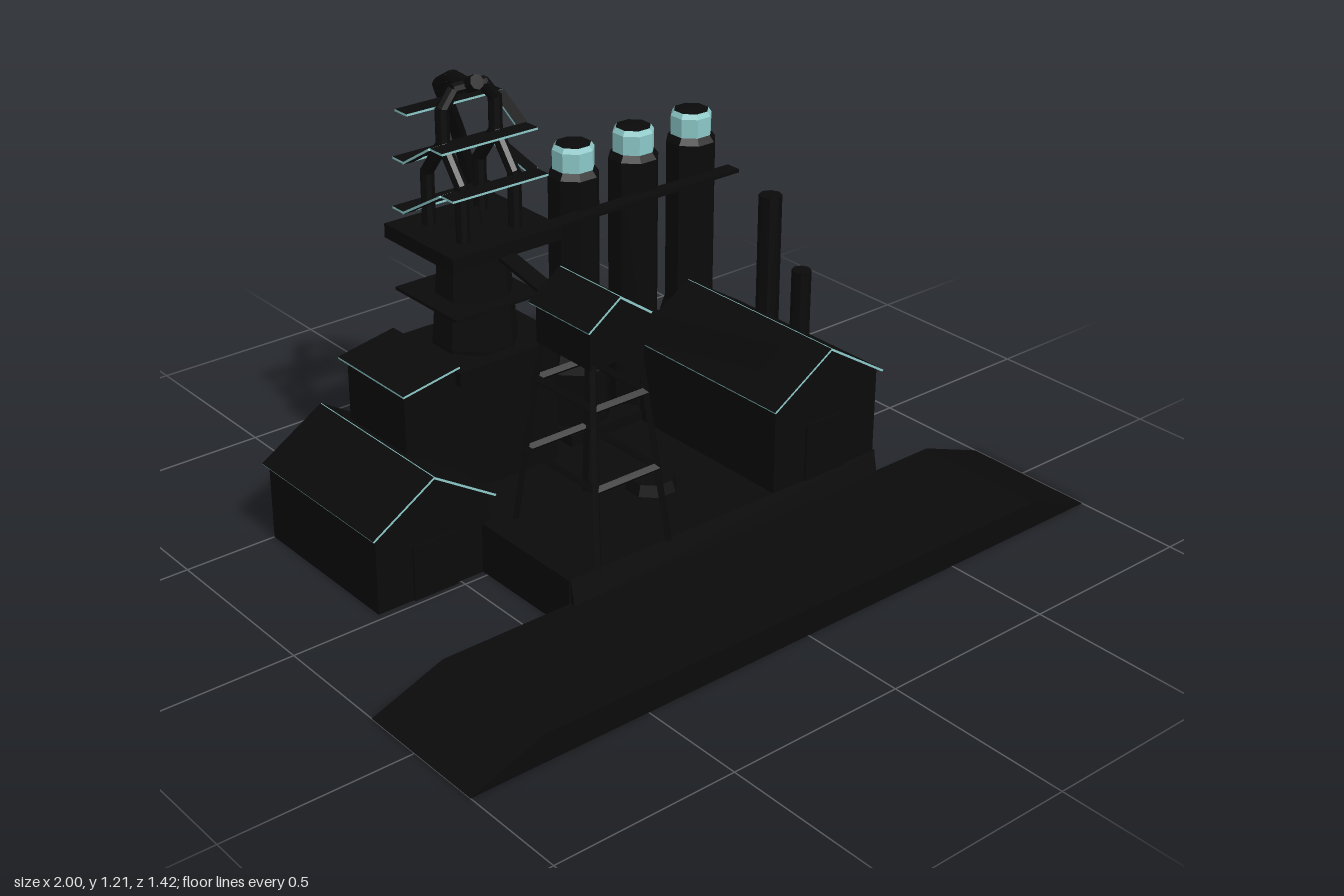
import * as THREE from 'three';

const black = new THREE.MeshStandardMaterial({ name: 'sootBlack', color: 0x0a0a0a, flatShading: true });
const teal = new THREE.MeshStandardMaterial({ name: 'paleTeal', color: 0x8cc8c8, flatShading: true });
// Black plate with pale rims
const rimmed = [teal, teal, black, black, teal, teal];

export function createModel() {
  const root = new THREE.Group();
  root.name = 'blastFurnacePlant';
  const V = (x, y, z) => new THREE.Vector3(x, y, z);

  const add = (name, geo, mat = black, parent = root) => {
    const m = new THREE.Mesh(geo, mat);
    m.name = name;
    parent.add(m);
    return m;
  };
  const group = (name) => {
    const g = new THREE.Group();
    g.name = name;
    root.add(g);
    return g;
  };
  // Box from its limits
  const box = (name, x0, x1, y0, y1, z0, z1, mat = black, parent = root) => {
    const m = add(name, new THREE.BoxGeometry(x1 - x0, y1 - y0, z1 - z0), mat, parent);
    m.position.set((x0 + x1) / 2, (y0 + y1) / 2, (z0 + z1) / 2);
    return m;
  };
  // Round or square bar between two points
  const bar = (name, a, b, r, sides = 8, parent = root) => {
    const m = add(name, new THREE.CylinderGeometry(r, r, a.distanceTo(b), sides), black, parent);
    m.position.copy(a).add(b).multiplyScalar(0.5);
    m.quaternion.setFromUnitVectors(V(0, 1, 0), b.clone().sub(a).normalize());
    return m;
  };
  // Faceted turned body with a flat face to the front
  const lathe = (name, pts, x, z, mat = black, parent = root) => {
    const geo = new THREE.LatheGeometry(pts.map(p => new THREE.Vector2(p[0], p[1])), 8);
    geo.rotateY(Math.PI / 8);
    const m = add(name, geo, mat, parent);
    m.position.set(x, 0, z);
    return m;
  };
  // Outline in x and y, pushed along z
  const prism = (name, pts, z0, z1, parent = root) => {
    const shape = new THREE.Shape(pts.map(p => new THREE.Vector2(p[0], p[1])));
    const m = add(name, new THREE.ExtrudeGeometry(shape, { depth: z1 - z0, bevelEnabled: false }), black, parent);
    m.position.z = z0;
    return m;
  };
  // Thin sloping plate running along z
  const slopePlate = (name, xa, ya, xb, yb, z0, z1, parent) => {
    const m = add(name, new THREE.BoxGeometry(Math.hypot(xb - xa, yb - ya), 0.006, z1 - z0), rimmed, parent);
    m.position.set((xa + xb) / 2, (ya + yb) / 2, (z0 + z1) / 2);
    m.rotation.z = Math.atan2(yb - ya, xb - xa);
  };
  // Gabled building with overhanging roof
  const house = (name, x0, x1, y0, eave, ridge, z0, z1) => {
    const g = group(name), c = (x0 + x1) / 2, o = 0.012;
    prism('walls', [[x0, y0], [x1, y0], [x1, eave], [c, ridge - 0.006], [x0, eave]], z0, z1, g);
    const drop = (ridge - eave) * o / (c - x0);
    slopePlate('roofRight', x0 - o, eave - drop, c, ridge, z0 - o, z1 + o, g);
    slopePlate('roofLeft', c, ridge, x1 + o, eave - drop, z0 - o, z1 + o, g);
    return g;
  };

  // Ground works
  prism('frontRoadBank', [[-1, 0], [1, 0], [0.8, 0.075], [-0.8, 0.075]], 0.33, 0.71);
  box('basePlatform', -0.43, 0.597, 0, 0.14, -0.44, 0.33);
  const kerb = prism('platformFrontSlope', [[0, 0.07], [0.015, 0.07], [0, 0.14]], 0, 1.02);
  kerb.rotation.y = -Math.PI / 2;
  kerb.position.set(0.595, 0, 0.33);
  box('stovePlinth', -0.01, 0.58, 0.14, 0.17, -0.41, -0.19);
  lathe('lowPit', [[0, 0.14], [0.07, 0.14], [0.06, 0.17], [0, 0.17]], 0.02, 0.1);

  // Buildings
  const castHouse = house('gabledHall', 0.232, 0.588, 0.14, 0.385, 0.497, -0.2, 0.33);
  box('hallDoor', 0.34, 0.48, 0.14, 0.3, 0.33, 0.336, black, castHouse);
  const shed = house('sideShed', -0.745, -0.405, 0, 0.22, 0.325, -0.5, -0.02);
  box('shedDoor', -0.64, -0.51, 0, 0.15, -0.02, -0.014, black, shed);
  prism('leanTo', [[-0.545, 0], [-0.39, 0], [-0.39, 0.5], [-0.545, 0.475]], -0.42, -0.17);
  slopePlate('leanToRoof', -0.56, 0.48, -0.39, 0.51, -0.44, -0.15, root);
  box('furnaceBlock', -0.4, -0.07, 0.14, 0.45, -0.42, -0.17);
  box('furnaceLowerDeck', -0.385, -0.052, 0.45, 0.49, -0.435, -0.155);

  // Chimneys on the hall roof
  for (const [z, top, r] of [[0.005, 0.79, 0.031], [0.13, 0.62, 0.026]])
    bar('hallChimney', V(0.5, 0.4, z), V(0.5, top, z), r);

  // Hot stoves
  for (const x of [0.09, 0.29, 0.49]) {
    const g = group('hotStove');
    lathe('stoveBody', [[0, 0.14], [0.098, 0.14], [0.094, 0.32], [0.069, 0.4], [0.069, 0.86], [0.054, 0.88], [0, 0.88]], x, -0.3, black, g);
    lathe('stoveCap', [[0.057, 0.878], [0.057, 0.93], [0.048, 0.943]], x, -0.3, teal, g);
    lathe('stoveCapTop', [[0.048, 0.943], [0, 0.95]], x, -0.3, black, g);
  }
  box('stoveWalkway', -0.12, 0.575, 0.77, 0.78, -0.245, -0.2);

  // Furnace shaft
  const fx = -0.235, fz = -0.298;
  lathe('furnaceShaft', [[0, 0.3], [0.11, 0.3], [0.112, 0.5], [0.09, 0.77], [0.09, 0.8], [0.025, 0.81], [0.022, 0.845], [0, 0.845]], fx, fz);
  box('shaftDeck', fx - 0.15, fx + 0.115, 0.622, 0.63, fz - 0.132, fz + 0.132);
  box('topDeck', fx - 0.165, fx + 0.17, 0.765, 0.803, fz - 0.147, fz + 0.147);

  // Gas uptakes, two pairs that join into an arch
  const uptakes = group('gasUptakes');
  for (const s of [-1, 1]) {
    const x = fx + s * 0.08;
    for (const t of [-1, 1]) {
      bar('uptake', V(x, 0.8, fz + t * 0.073), V(x, 0.95, fz + t * 0.073), 0.018, 8, uptakes);
      bar('uptakeElbow', V(x, 0.945, fz + t * 0.073), V(x, 1.04, fz), 0.017, 8, uptakes);
    }
    bar('uptakeRiser', V(x, 1.03, fz), V(x, 1.13, fz), 0.018, 8, uptakes);
    bar('uptakeShoulder', V(x, 1.125, fz), V(fx + s * 0.045, 1.17, fz), 0.017, 8, uptakes);
  }
  bar('uptakeCrown', V(fx - 0.05, 1.17, fz), V(fx + 0.05, 1.17, fz), 0.016, 8, uptakes);

  // Zigzag stair landings and flights
  const stairs = group('topStairs');
  const flight = (x, ya, za, yb, zb) => {
    const m = add('flight', new THREE.BoxGeometry(0.035, 0.006, Math.hypot(yb - ya, zb - za)), rimmed, stairs);
    m.position.set(x, (ya + yb) / 2, (za + zb) / 2);
    m.rotation.x = Math.atan2(ya - yb, zb - za);
  };
  for (const [y, z] of [[0.845, -0.41], [0.94, -0.195], [0.98, -0.4], [1.05, -0.235], [1.11, -0.38]])
    box('landing', fx - 0.145, fx + 0.145, y - 0.003, y + 0.003, z - 0.025, z + 0.025, rimmed, stairs);
  flight(-0.367, 0.845, -0.385, 0.94, -0.22);
  flight(-0.103, 0.98, -0.375, 0.94, -0.22);
  flight(-0.367, 0.98, -0.375, 1.05, -0.26);
  flight(-0.103, 1.11, -0.355, 1.05, -0.26);

  // Downcomer and dust catcher
  const route = [V(fx, 1.19, -0.26), V(fx, 1.17, -0.3), V(-0.228, 1.17, -0.37), V(-0.185, 1.11, -0.49),
    V(-0.065, 0.93, -0.59), V(0.02, 0.7, -0.635), V(0.03, 0.33, -0.635)];
  const downcomer = group('downcomer');
  route.slice(1).forEach((p, i) => {
    bar('downcomerPipe', route[i], p, 0.02, 8, downcomer);
    if (i < 5) add('downcomerJoint', new THREE.IcosahedronGeometry(0.02, 1), black, downcomer).position.copy(p);
  });
  lathe('dustCatcher', [[0, 0], [0.083, 0], [0.083, 0.155], [0.055, 0.195], [0.055, 0.3], [0.024, 0.345], [0.022, 0.7]], 0.03, -0.635);

  // Hoist tower with a gabled cabin
  house('hoistCabin', -0.318, -0.152, 0.64, 0.752, 0.81, 0.07, 0.275);
  const tower = group('hoistTower'), tz = 0.173;
  const corner = (sx, sz, y) => {
    const k = (0.64 - y) * 0.13;
    return V(fx + sx * (0.072 + k * 0.6), y, tz + sz * (0.098 + k));
  };
  for (const sx of [-1, 1]) for (const sz of [-1, 1])
    bar('towerLeg', corner(sx, sz, 0.14), corner(sx, sz, 0.65), 0.01, 4, tower);
  for (const y of [0.34, 0.54]) for (const s of [-1, 1]) {
    bar('crossBar', corner(-1, s, y), corner(1, s, y), 0.011, 4, tower);
    bar('sideBar', corner(s, -1, y), corner(s, 1, y), 0.011, 4, tower);
  }

  // Conveyor bridges
  const dx = 0.51, dy = -0.26;
  const conveyor = add('conveyorBridge', new THREE.BoxGeometry(Math.hypot(dx, dy), 0.075, 0.08));
  conveyor.position.set(0.085, 0.57, 0.17);
  conveyor.rotation.z = Math.atan2(dy, dx);
  const skip = add('skipBridge', new THREE.BoxGeometry(0.05, 0.01, 0.3));
  skip.position.set(fx, 0.747, -0.07);
  skip.rotation.x = Math.atan2(0.055, 0.27);

  return root;
}
